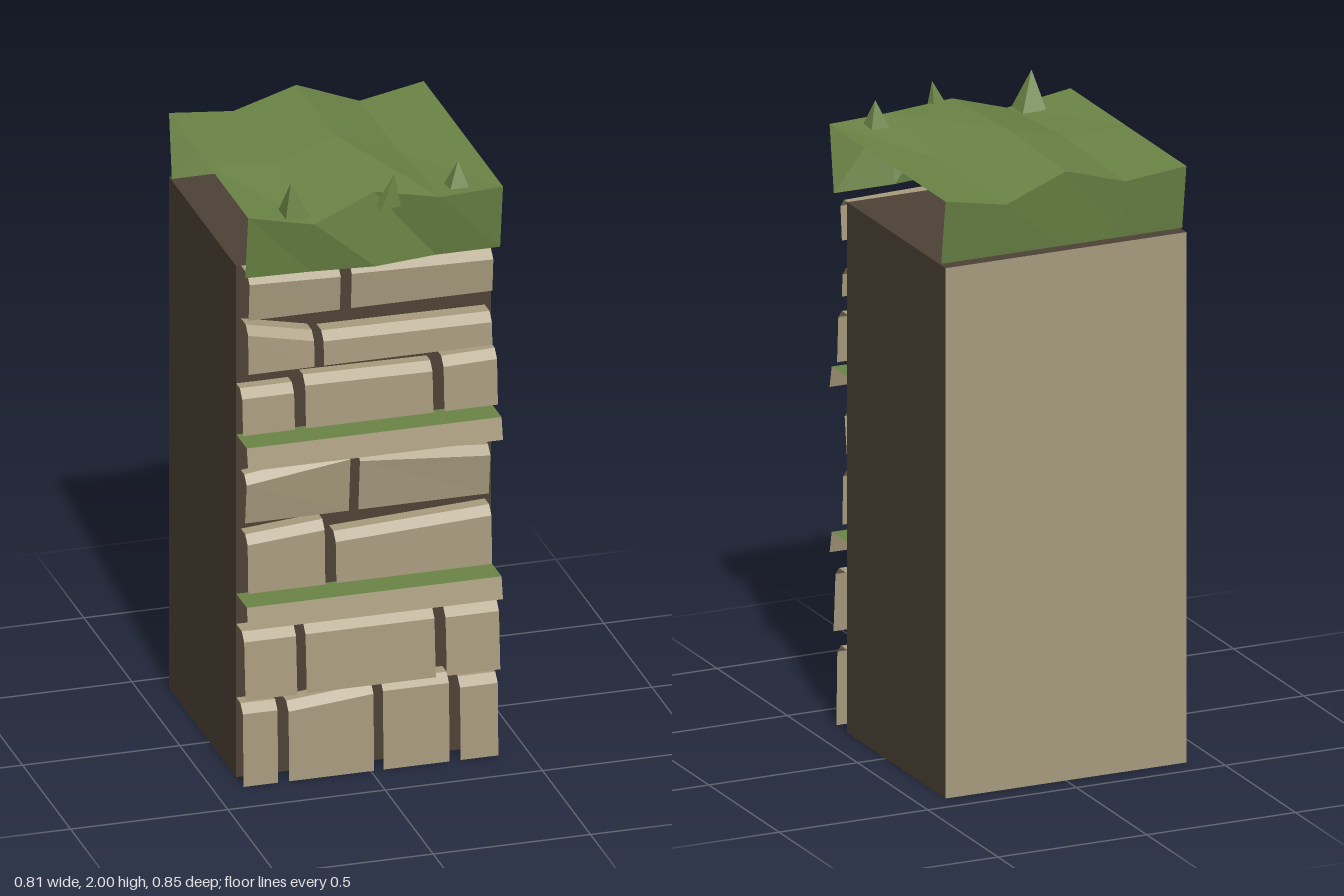
import * as THREE from 'three';

const mat = (name, color) => new THREE.MeshStandardMaterial({ name, color, side: THREE.DoubleSide });

// Open surface through several cross-section loops with equal point counts
function strip(rows) {
  const pos = [];
  for (let r = 0; r < rows.length - 1; r++) {
    for (let i = 0; i < rows[r].length - 1; i++) {
      const a = rows[r][i], b = rows[r][i + 1], c = rows[r + 1][i + 1], d = rows[r + 1][i];
      pos.push(...a, ...d, ...c, ...a, ...c, ...b);
    }
  }
  const g = new THREE.BufferGeometry();
  g.setAttribute('position', new THREE.Float32BufferAttribute(pos, 3));
  g.computeVertexNormals();
  return g;
}

export function createModel() {
  const root = new THREE.Group();
  root.name = 'brickPillar';
  const stone = mat('stone', 0xa89b7e);
  const mortar = mat('mortar', 0x4d4236);
  const grass = mat('grass', 0x6b8446);

  const add = (name, geometry, material, parent = root) => {
    const m = new THREE.Mesh(geometry, material);
    m.name = name;
    parent.add(m);
    return m;
  };

  // Core block with a plain stone back
  const core = add('core', new THREE.BoxGeometry(0.81, 1.7, 0.7),
    [mortar, mortar, mortar, mortar, mortar, stone]);
  core.position.set(0, 0.85, -0.075);

  // Brick facing: each row has bottom y, bottom z, top z, and bricks [x0, x1, top y left, top y right]
  const wall = 0.275;
  const rows = [
    { y: 0, zb: 0.352, zt: 0.345, bricks: [[-0.405, -0.295, 0.265, 0.265], [-0.26, 0.01, 0.255, 0.28], [0.04, 0.25, 0.285, 0.285], [0.285, 0.405, 0.265, 0.265]] },
    { y: 0.295, zb: 0.372, zt: 0.358, bricks: [[-0.405, -0.24, 0.51, 0.51], [-0.21, 0.2, 0.512, 0.512], [0.235, 0.405, 0.51, 0.51]] },
    { y: 0.64, zb: 0.352, zt: 0.345, bricks: [[-0.39, -0.145, 0.825, 0.845], [-0.11, 0.385, 0.8, 0.825]] },
    { y: 0.86, zb: 0.318, zt: 0.335, bricks: [[-0.39, -0.06, 1.02, 1.065], [-0.03, 0.385, 1.055, 1.02]] },
    { y: 1.165, zb: 0.347, zt: 0.338, bricks: [[-0.405, -0.24, 1.31, 1.31], [-0.205, 0.2, 1.33, 1.325], [0.235, 0.405, 1.335, 1.34]] },
    { y: 1.37, zb: 0.355, zt: 0.35, bricks: [[-0.39, -0.18, 1.525, 1.48], [-0.15, 0.385, 1.475, 1.47]] },
    { y: 1.55, zb: 0.355, zt: 0.365, bricks: [[-0.39, -0.1, 1.7, 1.69], [-0.065, 0.385, 1.695, 1.685]] },
  ];
  const bricks = new THREE.Group();
  bricks.name = 'bricks';
  root.add(bricks);
  for (const { y, zb, zt, bricks: list } of rows) {
    for (const [x0, x1, l, r] of list) {
      add('brick', strip([
        [[x0, l, wall], [x1, r, wall]],
        [[x0, l, zt - 0.025], [x1, r, zt - 0.025]],
        [[x0, l - 0.027, zt], [x1, r - 0.027, zt]],
        [[x0, y, zb], [x1, y, zb]],
      ]), stone, bricks);
    }
  }

  // Two ledges: mossy top and stone lip
  for (const y of [0.61, 1.14]) {
    const at = (h, z) => [[-0.405, h, z], [0.405, h, z]];
    add('ledgeMoss', strip([at(y, wall), at(y, 0.385)]), grass);
    add('ledgeLip', strip([at(y, 0.385), at(y - 0.07, 0.4)]), stone);
  }

  // Wavy grass cap with front and back skirts, open at the sides
  const xs = [-0.405, -0.2, 0, 0.2, 0.405];
  const line = (ys, zs) => xs.map((x, i) => [x, ys[i], zs[i]]);
  const flat = (v) => xs.map(() => v);
  const back = line([1.912, 1.892, 1.953, 1.874, 1.913], flat(-0.425));
  const middle = line([1.912, 1.902, 1.962, 1.885, 1.913], flat(0));
  const front = line([1.912, 1.873, 1.942, 1.913, 1.913], [0.4, 0.42, 0.385, 0.42, 0.4]);
  add('grassTop', strip([back, middle, front]), grass);
  add('grassFront', strip([front, line(flat(1.7), [0.37, 0.38, 0.4, 0.37, 0.37])]), grass);
  add('grassBack', strip([line(flat(1.705), flat(-0.395)), back]), grass);

  // Grass tufts: open four-sided spikes [x, z, base y, half width, half depth, apex x, apex y, apex z, turn]
  const tufts = [
    [-0.243, 0.352, 1.885, 0.04, 0.04, -0.262, 2, 0.375, 0],
    [0.04, 0.395, 1.895, 0.033, 0.024, 0.058, 2, 0.405, 0.2],
    [0.276, 0.34, 1.905, 0.031, 0.031, 0.28, 1.99, 0.34, 0],
  ];
  for (const [x, z, y, w, d, ax, ay, az, turn] of tufts) {
    const corners = [[-1, -1], [-1, 1], [1, 1], [1, -1], [-1, -1]].map(([i, j]) => [
      x + i * w * Math.cos(turn) + j * d * Math.sin(turn), y,
      z - i * w * Math.sin(turn) + j * d * Math.cos(turn)]);
    add('grassTuft', strip([corners.map(() => [ax, ay, az]), corners]).toNonIndexed?.() ?? null, grass);
  }
  return root;
}
